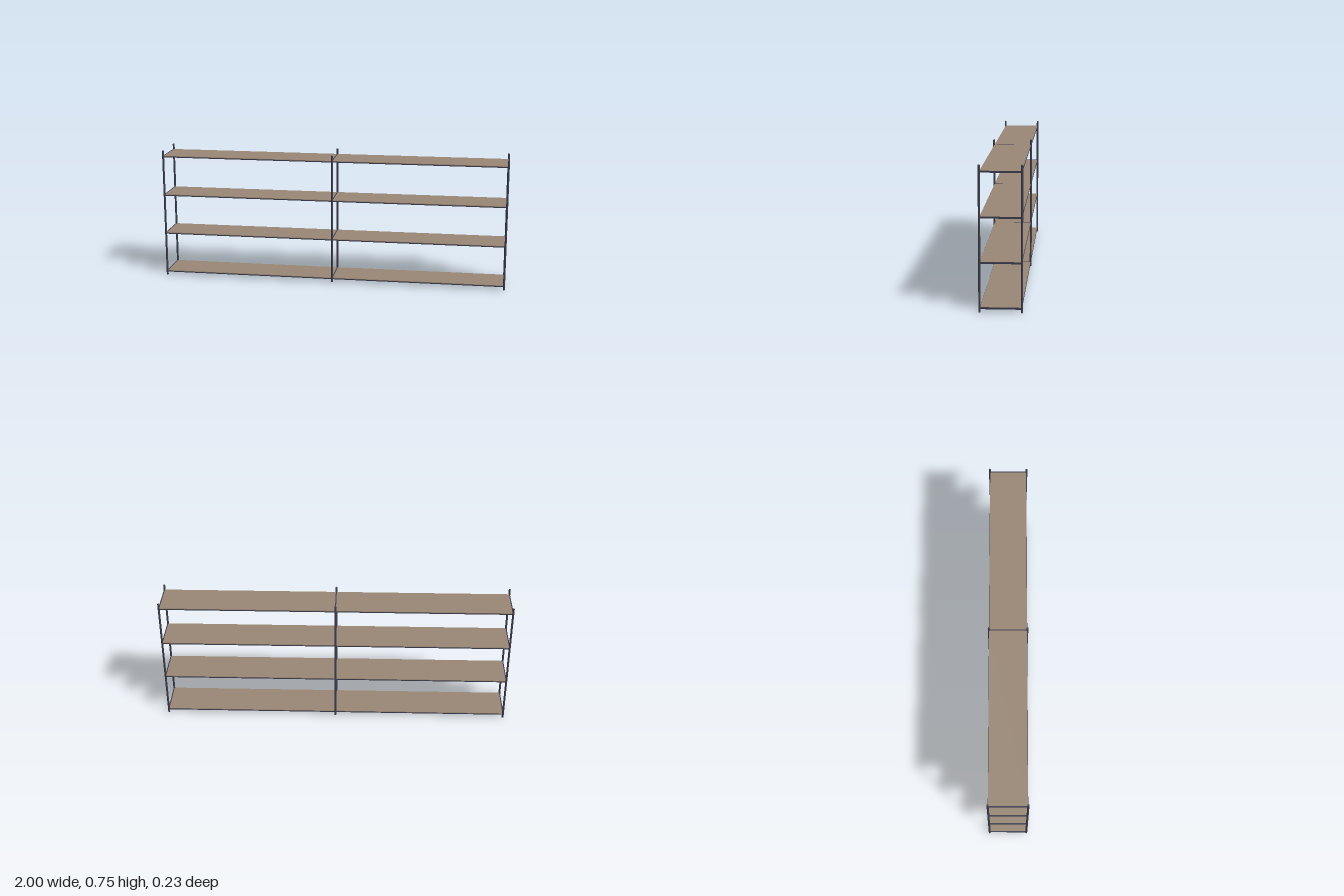
import * as THREE from 'three';

const metal = new THREE.MeshStandardMaterial({ color: 0x3c3c4c });
const wood = new THREE.MeshStandardMaterial({ color: 0x998775 });

const POST_X = [-0.994, 0, 0.994];
const POST_Z = 0.107;
const POST_R = 0.0058;
const HEIGHT = 0.753;
const LEVELS = [0.017, 0.2515, 0.482, 0.712]; // underside of each shelf
const RAIL = 0.0055;
const BOARD = 0.0035;

function box(name, w, h, d, x, y, z, material) {
  const mesh = new THREE.Mesh(new THREE.BoxGeometry(w, h, d), material);
  mesh.name = name;
  mesh.position.set(x, y, z);
  return mesh;
}

// Round upright with a small domed top
function post(x, z) {
  const profile = [new THREE.Vector2(0, 0), new THREE.Vector2(POST_R, 0)];
  for (let i = 0; i <= 4; i++) {
    const a = (i / 4) * Math.PI / 2;
    profile.push(new THREE.Vector2(POST_R * Math.cos(a), HEIGHT - 0.004 + 0.004 * Math.sin(a)));
  }
  const mesh = new THREE.Mesh(new THREE.LatheGeometry(profile, 16), metal);
  mesh.name = 'post';
  mesh.position.set(x, 0, z);
  return mesh;
}

// One level: long rails, cross bars and a board in each bay
function shelf(y) {
  const group = new THREE.Group();
  group.name = 'shelf';
  const railY = y + RAIL / 2;
  for (const side of [-1, 1]) {
    group.add(box('longRail', 1.988, RAIL, RAIL, 0, railY, side * 0.104, metal));
  }
  for (const x of POST_X) {
    group.add(box('crossBar', 0.006, RAIL + BOARD, 0.208, x, y + (RAIL + BOARD) / 2, 0, metal));
  }
  for (const side of [-1, 1]) {
    group.add(box('board', 0.988, BOARD, 0.21, side * 0.497, y + RAIL + BOARD / 2, 0, wood));
  }
  return group;
}

export function createModel() {
  const model = new THREE.Group();
  model.name = 'shelvingUnit';
  for (const x of POST_X) {
    for (const side of [-1, 1]) model.add(post(x, side * POST_Z));
  }
  for (const y of LEVELS) model.add(shelf(y));
  return model;
}
